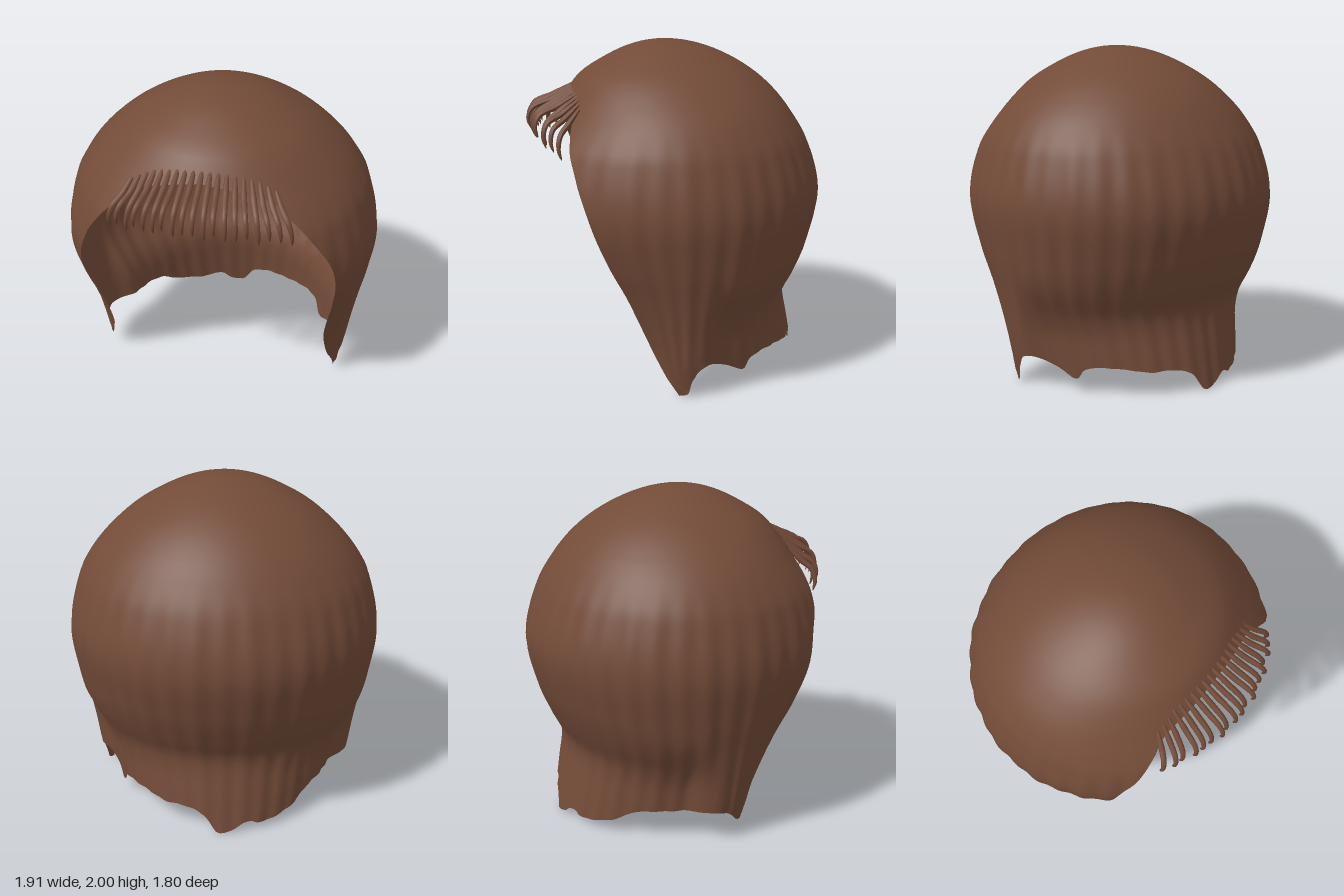
import * as THREE from 'three';

const hair = new THREE.MeshStandardMaterial({ color: 0x734b38, side: THREE.DoubleSide });
hair.name = 'brown hair';

// Smooth interpolation through [key, value] pairs with rising keys
function smooth(table) {
  const n = table.length - 1;
  const slope = (i) => {
    const a = table[Math.max(0, i - 1)], b = table[Math.min(n, i + 1)];
    return (b[1] - a[1]) / (b[0] - a[0]);
  };
  return (x) => {
    if (x <= table[0][0]) return table[0][1];
    if (x >= table[n][0]) return table[n][1];
    let i = 0;
    while (x > table[i + 1][0]) i++;
    const [x0, y0] = table[i], [x1, y1] = table[i + 1];
    const h = x1 - x0, t = (x - x0) / h, t2 = t * t, t3 = t2 * t;
    return y0 * (2 * t3 - 3 * t2 + 1) + y1 * (3 * t2 - 2 * t3)
      + h * (slope(i) * (t3 - 2 * t2 + t) + slope(i + 1) * (t3 - t2));
  };
}

// Profiles by height, keyed on sqrt(2 - y) so the crown stays round
function byHeight(table) {
  const f = smooth(table.map(([y, v]) => [Math.sqrt(2 - y), v]));
  return (y) => f(Math.sqrt(Math.max(0, 2 - y)));
}
const halfWidth = byHeight([[2, 0], [1.9, 0.38], [1.8, 0.55], [1.7, 0.67], [1.6, 0.765], [1.5, 0.835],
  [1.4, 0.885], [1.1, 0.95], [0.8, 0.915], [0.6, 0.875], [0.4, 0.84], [0.2, 0.81], [0, 0.77]]);
const backDepth = byHeight([[2, 0], [1.9, 0.38], [1.8, 0.53], [1.7, 0.63], [1.6, 0.7], [1.4, 0.82],
  [1.1, 0.9], [0.8, 0.84], [0.6, 0.76], [0.46, 0.7], [0.2, 0.74], [0, 0.78]]);
const frontDepth = byHeight([[2, 0], [1.9, 0.37], [1.8, 0.54], [1.7, 0.635], [1.6, 0.72], [1.5, 0.8],
  [1.4, 0.87], [1.2, 0.93], [1, 0.91], [0.8, 0.79], [0.6, 0.62], [0.4, 0.48], [0.2, 0.38], [0, 0.38]]);

// Angle from the front at which the face opening ends
const HAIRLINE = 1.68;
const openingAngle = byHeight([[HAIRLINE, 0], [1.66, 0.22], [1.6, 0.5], [1.5, 0.63], [1.4, 0.73],
  [1.2, 0.87], [1, 0.935], [0.8, 0.953], [0.6, 0.96], [0.4, 0.98], [0.2, 1.09], [0, 1.42]]);

// Ragged hem height, running from the left lock round the back to the right lock
const hem = smooth([[0, 0.005], [0.05, 0.03], [0.1, 0.12], [0.15, 0.2], [0.18, 0.15], [0.205, 0.09],
  [0.245, 0.15], [0.28, 0.175], [0.33, 0.17], [0.38, 0.15], [0.43, 0.15], [0.47, 0.11], [0.495, 0.015],
  [0.515, 0.005], [0.54, 0.02], [0.56, 0.06], [0.58, 0.065], [0.6, 0.05], [0.63, 0.05], [0.66, 0.07],
  [0.69, 0.1], [0.72, 0.17], [0.8, 0.19], [0.86, 0.2], [0.91, 0.17], [0.96, 0.12], [1, 0.1]]);

const { smoothstep } = THREE.MathUtils;
function shellPoint(y, angle) {
  const c = Math.cos(angle), s = Math.sin(angle);
  const fade = smoothstep(1.62 - y, 0, 0.4);
  const ripple = 1 + fade * (0.0045 * Math.sin(angle * 38) + 0.003 * Math.sin(angle * 17 + y));
  // The nape tucks in behind the side locks
  const tuck = 1 - 0.12 * smoothstep(0.7 - y, 0, 0.4) * smoothstep(-c, 0.08, 0.32);
  const centre = 0.05 * Math.max(0, (y - 1.6) / 0.4);
  const depth = c > 0 ? frontDepth(y) : backDepth(y);
  return [halfWidth(y) * s * ripple * tuck, y, centre + depth * c * ripple];
}

// Crown, sides, nape and face locks as one open shell
function hairShell() {
  const cols = 288, capRows = 16, sideRows = 40, rows = capRows + sideRows;
  const positions = [], index = [];
  for (let i = 0; i <= rows; i++) {
    for (let j = 0; j <= cols; j++) {
      const u = j / cols;
      const v = Math.max(0, i - capRows) / sideRows;
      const y = i <= capRows
        ? 2 - (2 - HAIRLINE) * (Math.max(i, 0.02) / capRows) ** 2
        : HAIRLINE - (HAIRLINE - hem(u)) * v ** 1.3;
      const start = i <= capRows ? 0 : openingAngle(y);
      positions.push(...shellPoint(y, start + u * (2 * Math.PI - 2 * start)));
      if (i < rows && j < cols) {
        const a = i * (cols + 1) + j, b = a + cols + 1;
        index.push(a, b, b + 1, a, b + 1, a + 1);
      }
    }
  }
  const g = new THREE.BufferGeometry();
  g.setAttribute('position', new THREE.Float32BufferAttribute(positions, 3));
  g.setIndex(index);
  g.computeVertexNormals();
  // Blend the seam down the front of the crown
  const n = g.attributes.normal;
  for (let i = 0; i <= capRows; i++) {
    for (const k of [i * (cols + 1), i * (cols + 1) + cols]) {
      const v = new THREE.Vector3(0, n.getY(k), n.getZ(k)).normalize();
      n.setXYZ(k, v.x, v.y, v.z);
    }
  }
  return g;
}

// Tapered strand along a curve
function strandGeometry(points, radius) {
  const curve = new THREE.CatmullRomCurve3(points);
  const steps = 20, sides = 7;
  const g = new THREE.TubeGeometry(curve, steps, radius, sides);
  const p = g.attributes.position, v = new THREE.Vector3();
  for (let i = 0; i <= steps; i++) {
    const t = i / steps, centre = curve.getPointAt(t);
    const size = Math.min(1, 0.55 + t * 1.5) * Math.sqrt(Math.max(0.01, 1 - t ** 3));
    for (let j = 0; j <= sides; j++) {
      const k = i * (sides + 1) + j;
      v.fromBufferAttribute(p, k).sub(centre).multiplyScalar(size).add(centre);
      p.setXYZ(k, v.x, v.y, v.z);
    }
  }
  g.computeVertexNormals();
  return g;
}

export function createModel() {
  const model = new THREE.Group();
  model.name = 'hairpiece';

  const shell = new THREE.Mesh(hairShell(), hair);
  shell.name = 'hairShell';
  model.add(shell);

  // Fringe fanning forward from the hairline and curling down
  const fringe = new THREE.Group();
  fringe.name = 'fringe';
  const count = 19;
  for (let i = 0; i < count; i++) {
    const k = (i / (count - 1)) * 2 - 1, k2 = k * k;
    const wobble = 0.025 * Math.sin(i * 2.4);
    const rootX = 0.4 * k, tipX = 0.51 * k;
    const rootY = 1.74 - 0.1 * k2, tipY = 1.47 - 0.08 * k2 + wobble;
    const tipZ = 0.88 - 0.16 * k2 + wobble * 0.5, rootZ = 0.59;
    const at = (s, y, z) => new THREE.Vector3(rootX + (tipX - rootX) * s, y, z);
    const strand = new THREE.Mesh(strandGeometry([
      at(0, rootY, rootZ),
      at(0.4, rootY - 0.075, rootZ + (tipZ - rootZ) * 0.5),
      at(0.8, (rootY + tipY) / 2, rootZ + (tipZ - rootZ) * 0.9),
      at(1, tipY + 0.06, tipZ),
      at(1.03, tipY, tipZ - 0.015),
    ], 0.018), hair);
    strand.name = 'fringeStrand';
    fringe.add(strand);
  }
  model.add(fringe);
  return model;
}
